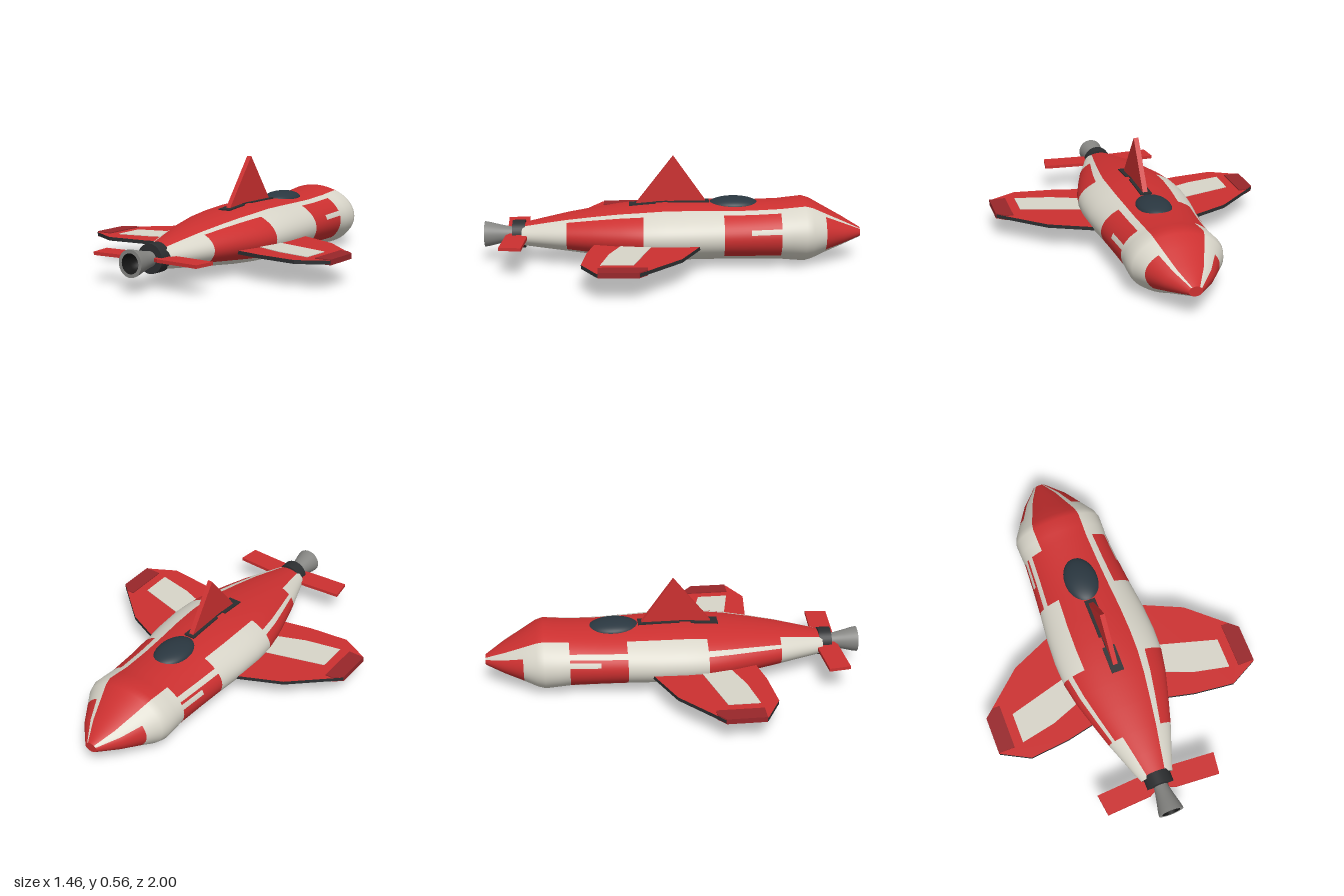
import * as THREE from 'three';

const mat = (color, double) => new THREE.MeshStandardMaterial({ color, side: double ? THREE.DoubleSide : THREE.FrontSide });
const red = mat(0xcc3030), darkRed = mat(0x98262a), white = mat(0xd8d5c9), panelGrey = mat(0x8e8c86);
const dark = mat(0x2c2e30), glass = mat(0x2a3740), metal = mat(0x858582, true), black = mat(0x151515, true);

// Hull stations: z, half width, bottom y, top y
const stations = [
  [-1, 0.035, 0.122, 0.172], [-0.9, 0.125, 0.085, 0.232], [-0.8, 0.188, 0.045, 0.288],
  [-0.73, 0.232, 0.014, 0.328], [-0.69, 0.245, 0.003, 0.34], [-0.62, 0.243, 0.009, 0.332],
  [-0.56, 0.24, 0.014, 0.325], [-0.4, 0.25, 0.018, 0.318], [-0.26, 0.262, 0.02, 0.319],
  [-0.1, 0.279, 0.02, 0.322], [0.04, 0.285, 0.021, 0.322], [0.16, 0.28, 0.026, 0.313],
  [0.28, 0.257, 0.034, 0.302], [0.42, 0.217, 0.049, 0.282], [0.56, 0.174, 0.065, 0.259],
  [0.68, 0.13, 0.078, 0.234], [0.8, 0.088, 0.092, 0.208],
];

// Paint scheme: angle t in degrees from the top, positive toward +x
function isRed(z, t) {
  const a = Math.abs(t);
  const nose = z < -0.8;
  const band = nose || (z > -0.56 && z < -0.26) || (z > 0.16 && z < 0.56);
  const top = t > 0 ? 30 : band && !nose ? 55 : 35;
  const strip = nose && t < 0 ? 25 : 10;
  if (a < top) return true;
  if (!band || a > 130 || a < top + strip) return false;
  return !(z > -0.56 && z < -0.4 && a > 70 && a < 80); // small white side panel
}

// One smooth hull skin, split into red and white meshes that share vertices
function buildHull(group) {
  const n = 72, step = 5, pos = [], idx = { red: [], white: [] };
  for (const [z, w, lo, hi] of stations) {
    for (let j = 0; j < n; j++) {
      const t = THREE.MathUtils.degToRad(j * step);
      pos.push(w * Math.sin(t), (lo + hi) / 2 + (hi - lo) / 2 * Math.cos(t), z);
    }
  }
  for (let i = 0; i < stations.length - 1; i++) {
    for (let j = 0; j < n; j++) {
      const k = (j + 1) % n, a = i * n + j, b = a + n, c = i * n + k, d = c + n;
      const mid = (j + 0.5) * step, t = mid > 180 ? mid - 360 : mid;
      const z = (stations[i][0] + stations[i + 1][0]) / 2;
      idx[isRed(z, t) ? 'red' : 'white'].push(a, b, c, c, b, d);
    }
  }
  const whole = new THREE.BufferGeometry();
  whole.setAttribute('position', new THREE.Float32BufferAttribute(pos, 3));
  whole.setIndex([...idx.red, ...idx.white]);
  whole.computeVertexNormals();
  for (const [key, m] of [['red', red], ['white', white]]) {
    const g = new THREE.BufferGeometry();
    g.setAttribute('position', whole.attributes.position);
    g.setAttribute('normal', whole.attributes.normal);
    g.setIndex(idx[key]);
    add(group, key + 'HullSkin', g, m);
  }
  // end caps
  for (const [s, dir, m] of [[stations[0], -1, red], [stations.at(-1), 1, dark]]) {
    const cap = add(group, dir < 0 ? 'noseCap' : 'tailCap', new THREE.CircleGeometry(1, 48), m);
    cap.scale.set(s[1], (s[3] - s[2]) / 2, 1);
    cap.position.set(0, (s[2] + s[3]) / 2, s[0]);
    if (dir < 0) cap.rotation.y = Math.PI;
  }
}

function add(group, name, geometry, material) {
  const mesh = new THREE.Mesh(geometry, material);
  mesh.name = name;
  group.add(mesh);
  return mesh;
}

// Flat plate from an (x, z) outline between two heights, on either side
function plate(group, name, outline, y0, y1, side, capMat, edgeMat = capMat) {
  const shape = new THREE.Shape(outline.map(([x, z]) => new THREE.Vector2(x * side, -z)));
  const g = new THREE.ExtrudeGeometry(shape, { depth: y1 - y0, bevelEnabled: false });
  g.rotateX(-Math.PI / 2);
  g.translate(0, y0, 0);
  return add(group, name, g, [capMat, edgeMat]);
}

const wing = [[0.2, -0.16], [0.27, -0.13], [0.49, -0.03], [0.725, 0.18], [0.725, 0.39], [0.575, 0.47], [0.36, 0.447], [0.15, 0.4]];
const wingPanel = [[0.22, 0.1], [0.27, 0.12], [0.59, 0.21], [0.59, 0.375], [0.4, 0.335], [0.22, 0.265]];
const wingTip = [[0.64, 0.142], [0.68, 0.142], [0.728, 0.183], [0.728, 0.385], [0.64, 0.385]];
const tailFin = [[0.04, 0.77], [0.1, 0.77], [0.325, 0.785], [0.31, 0.9], [0.07, 0.885], [0.04, 0.87]];

export function createModel() {
  const model = new THREE.Group();
  model.name = 'rocketPlane';

  const hull = new THREE.Group();
  hull.name = 'hull';
  model.add(hull);
  buildHull(hull);

  // Wings and tail fins, mirrored: red above, pale below
  for (const side of [1, -1]) {
    const label = side > 0 ? 'left' : 'right';
    const w = new THREE.Group();
    w.name = label + 'Wing';
    model.add(w);
    plate(w, 'wingTop', wing, 0.136, 0.145, side, red, dark);
    plate(w, 'wingUnderside', wing, 0.126, 0.136, side, white, dark);
    plate(w, 'wingTopPanel', wingPanel, 0.144, 0.148, side, white);
    plate(w, 'wingLowerPanel', wingPanel, 0.123, 0.127, side, panelGrey);
    plate(w, 'wingTip', wingTip, 0.122, 0.15, side, darkRed);
    const f = new THREE.Group();
    f.name = label + 'TailFin';
    model.add(f);
    plate(f, 'tailFinTop', tailFin, 0.152, 0.161, side, red);
    plate(f, 'tailFinUnderside', tailFin, 0.144, 0.152, side, white, red);
  }

  // Upright dorsal fin: thin triangle in the y-z plane
  const tri = new THREE.Shape([[0.19, 0.3], [0, 0.568], [-0.22, 0.285]].map(p => new THREE.Vector2(...p)));
  const finGeo = new THREE.ExtrudeGeometry(tri, { depth: 0.026, bevelEnabled: false });
  finGeo.translate(0, 0, -0.013);
  finGeo.rotateY(Math.PI / 2);
  add(model, 'dorsalFin', finGeo, red);

  // Dark slot along the foot of the fin: width, z start, z end, y, tilt
  for (const [w, z0, z1, y, tilt] of [[0.06, -0.19, 0.03, 0.321, 0], [0.034, 0.03, 0.09, 0.321, 0.03], [0.068, 0.09, 0.235, 0.312, 0.085]]) {
    const slot = add(model, 'finSlot', new THREE.BoxGeometry(w, 0.012, z1 - z0), dark);
    slot.position.set(0, y, (z0 + z1) / 2);
    slot.rotation.x = tilt;
  }

  // Canopy
  const canopy = add(model, 'canopy', new THREE.SphereGeometry(1, 40, 24), glass);
  canopy.scale.set(0.09, 0.042, 0.135);
  canopy.position.set(0, 0.305, -0.32);

  // Engine: collar, flared bell and dark bore, turned about the z axis
  const turned = (name, pts, m) => {
    const g = new THREE.LatheGeometry(pts.map(([r, z]) => new THREE.Vector2(r, z)), 40);
    g.rotateX(Math.PI / 2);
    add(model, name, g, m).position.y = 0.15;
  };
  turned('engineCollar', [[0, 0.785], [0.074, 0.785], [0.074, 0.785], [0.074, 0.852], [0.074, 0.852], [0, 0.852]], mat(0x2c2e30, true));
  turned('engineBell', [[0.038, 0.85], [0.042, 0.88], [0.053, 0.93], [0.064, 0.975], [0.068, 1], [0.068, 1], [0.05, 1]], metal);
  turned('engineBore', [[0.05, 1], [0.044, 0.95], [0.034, 0.89], [0, 0.885]], black);

  return model;
}
